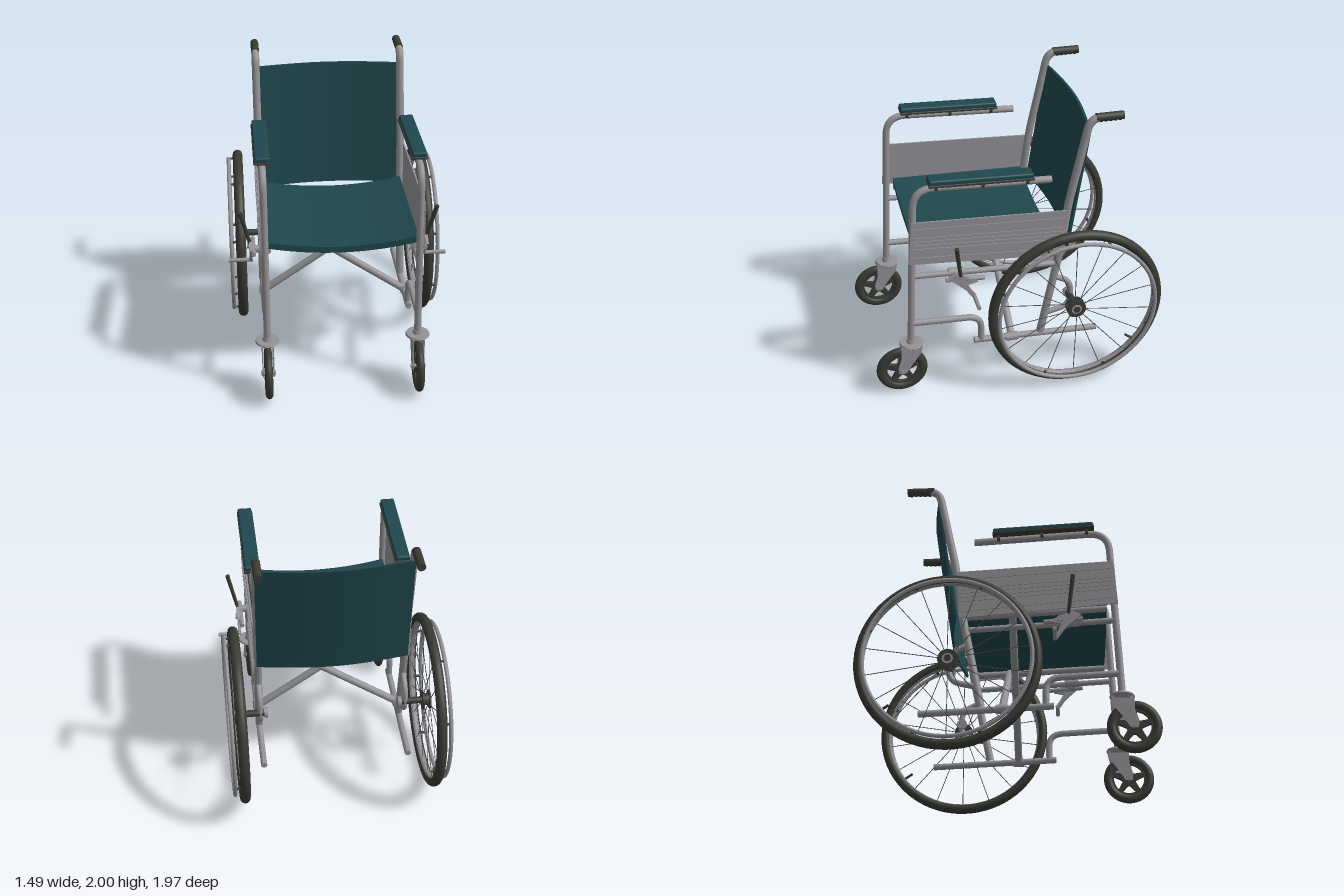
import * as THREE from 'three';
import { RoundedBoxGeometry } from 'three/addons/geometries/RoundedBoxGeometry.js';

const mat = (name, color) => Object.assign(new THREE.MeshStandardMaterial({ color }), { name });
const metal = mat('grey metal', 0x949296);
const rubber = mat('dark rubber', 0x3a3a34);
const fabric = mat('teal fabric', 0x1f474d);
const spokeMat = mat('spoke steel', 0x4c4c4c);

const V = (x, y, z) => new THREE.Vector3(x, y, z);

function add(parent, name, geometry, material) {
  const m = new THREE.Mesh(geometry, material);
  m.name = name;
  parent.add(m);
  return m;
}

// Straight capped bar between two points
function rod(parent, name, a, b, r, material = metal, sides = 14, r2 = r) {
  const d = b.clone().sub(a);
  const m = add(parent, name, new THREE.CylinderGeometry(r2, r, d.length(), sides), material);
  m.position.copy(a).add(b).multiplyScalar(0.5);
  m.quaternion.setFromUnitVectors(V(0, 1, 0), d.normalize());
  return m;
}

// Tube through points, with rounded corners
function bent(parent, name, pts, r, bend, material = metal) {
  const path = new THREE.CurvePath();
  let from = pts[0];
  for (let i = 1; i < pts.length - 1; i++) {
    const p = pts[i];
    const toward = (q) => p.clone().add(q.clone().sub(p).setLength(Math.min(bend, q.distanceTo(p) * 0.48)));
    const a = toward(pts[i - 1]), b = toward(pts[i + 1]);
    path.add(new THREE.LineCurve3(from, a));
    path.add(new THREE.QuadraticBezierCurve3(a, p, b));
    from = b;
  }
  path.add(new THREE.LineCurve3(from, pts[pts.length - 1]));
  return add(parent, name, new THREE.TubeGeometry(path, 72, r, 12), material);
}

// Flat plate drawn in the z-y plane, centred on x
function plate(parent, name, pts, x, thick, material = metal) {
  const shape = new THREE.Shape(pts.map(([z, y]) => new THREE.Vector2(-z, y)));
  const g = new THREE.ExtrudeGeometry(shape, { depth: thick, bevelEnabled: false });
  g.rotateY(Math.PI / 2).translate(x - thick / 2, 0, 0);
  return add(parent, name, g, material);
}

// Ring about the x axis from a [radius, x] profile
function ring(parent, name, profile, material) {
  const g = new THREE.LatheGeometry(profile.map(([r, x]) => new THREE.Vector2(r, x)), 64);
  return add(parent, name, g.rotateZ(-Math.PI / 2), material);
}

function tyreProfile(radius, rx, ry) {
  return Array.from({ length: 17 }, (_, i) => {
    const a = -Math.PI + i * Math.PI / 8;
    return [radius + Math.cos(a) * ry, Math.sin(a) * rx];
  });
}

// Cloth sheet: a box whose vertices are moved by a rule
function cloth(parent, name, rule) {
  const g = new THREE.BoxGeometry(2, 2, 2, 24, 1, 1);
  const p = g.attributes.position;
  for (let i = 0; i < p.count; i++) p.setXYZ(i, ...rule(p.getX(i), p.getY(i), p.getZ(i)));
  g.computeVertexNormals();
  return add(parent, name, g, fabric);
}

function driveWheel(s) {
  const w = new THREE.Group();
  w.name = 'driveWheel';
  ring(w, 'tyre', tyreProfile(0.576, 0.035, 0.034), rubber);
  ring(w, 'rim', [[0.56, -0.024], [0.56, 0.024], [0.547, 0.02], [0.54, 0], [0.547, -0.02], [0.56, -0.024]], metal);
  const hand = add(w, 'handRim', new THREE.TorusGeometry(0.546, 0.014, 10, 72).rotateY(Math.PI / 2), metal);
  hand.position.x = s * 0.066;
  for (let i = 0; i < 18; i++) {
    const a = i * Math.PI / 9, b = a + (i % 2 ? 0.06 : -0.06), hx = i % 2 ? 0.024 : -0.024;
    rod(w, 'spoke', V(hx, Math.cos(b) * 0.05, Math.sin(b) * 0.05), V(0, Math.cos(a) * 0.545, Math.sin(a) * 0.545), 0.0028, spokeMat, 6);
  }
  for (let i = 0; i < 8; i++) {
    const a = (i + 0.5) * Math.PI / 4, c = Math.cos(a) * 0.548, d = Math.sin(a) * 0.548;
    rod(w, 'handRimMount', V(s * 0.015, c, d), V(s * 0.06, c, d), 0.009, rubber, 8);
  }
  rod(w, 'hub', V(-0.026, 0, 0), V(0.026, 0, 0), 0.042, rubber, 24);
  for (const x of [-0.023, 0.023]) rod(w, 'hubFlange', V(x - 0.006, 0, 0), V(x + 0.006, 0, 0), 0.066, rubber, 24);
  rod(w, 'hubCap', V(s * 0.026, 0, 0), V(s * 0.032, 0, 0), 0.036, metal, 20);
  rod(w, 'axleNut', V(s * 0.03, 0, 0), V(s * 0.037, 0, 0), 0.025, rubber, 6);
  rod(w, 'valve', V(0, -0.34, -0.42), V(0, -0.305, -0.37), 0.009, rubber, 8);
  w.position.set(s * 0.655, 0.615, -0.375);
  return w;
}

function caster(s) {
  const c = new THREE.Group();
  c.name = 'caster';
  const wheel = new THREE.Group();
  wheel.name = 'casterWheel';
  ring(wheel, 'casterTyre', tyreProfile(0.145, 0.026, 0.032), rubber);
  // Five-spoke disc
  const disc = new THREE.Shape().absarc(0, 0, 0.13, 0, Math.PI * 2);
  for (let i = 0; i < 5; i++) {
    const m = Math.PI / 2 + (i + 0.5) * Math.PI * 0.4, hole = new THREE.Path();
    hole.absarc(0, 0, 0.106, m - 0.48, m + 0.48, false);
    hole.absarc(0, 0, 0.05, m + 0.14, m - 0.14, true);
    hole.closePath();
    disc.holes.push(hole);
  }
  const g = new THREE.ExtrudeGeometry(disc, { depth: 0.026, bevelEnabled: false, curveSegments: 10 });
  add(wheel, 'casterDisc', g.translate(0, 0, -0.013).rotateY(Math.PI / 2), rubber);
  wheel.position.set(s * 0.505, 0.193, 0.81);
  c.add(wheel);
  // Axle, fork and swivel
  rod(c, 'casterAxle', V(s * 0.505 - 0.05, 0.193, 0.81), V(s * 0.505 + 0.05, 0.193, 0.81), 0.012, metal);
  for (const d of [-0.036, 0.036]) {
    const x = s * 0.505 + d;
    plate(c, 'forkBlade', [[0.815, 0.395], [0.665, 0.395], [0.68, 0.33], [0.745, 0.24], [0.785, 0.175], [0.835, 0.175], [0.84, 0.22], [0.815, 0.3]], x, 0.008);
    rod(c, 'axleBolt', V(x - 0.01, 0.193, 0.81), V(x + 0.01, 0.193, 0.81), 0.02, metal, 6);
  }
  rod(c, 'forkCrown', V(s * 0.505, 0.38, 0.738), V(s * 0.505, 0.4, 0.738), 0.06, metal, 24, 0.076);
  rod(c, 'forkPlate', V(s * 0.505, 0.4, 0.738), V(s * 0.505, 0.412, 0.738), 0.082, metal, 28, 0.076);
  rod(c, 'swivelCollar', V(s * 0.505, 0.412, 0.738), V(s * 0.505, 0.44, 0.738), 0.034, metal, 18, 0.028);
  return c;
}

function sideFrame(s) {
  const f = new THREE.Group();
  f.name = s > 0 ? 'leftSide' : 'rightSide';
  const P = (x, y, z) => V(s * x, y, z);
  const X = 0.505;
  // Main tubes
  bent(f, 'frontLegAndArmTube', [P(X, 0.41, 0.74), P(X, 1.612, 0.685), P(X, 1.56, -0.22)], 0.024, 0.14);
  rod(f, 'armTubeEnd', P(X, 1.561, -0.2), P(X, 1.56, -0.225), 0.024);
  bent(f, 'backTube', [P(X, 0.34, -0.17), P(X, 1.03, -0.305), P(X, 1.35, -0.345), P(X, 1.972, -0.475), P(X, 1.972, -0.62)], 0.027, 0.08);
  rod(f, 'handGrip', P(X, 1.973, -0.51), P(X, 1.971, -0.695), 0.028, rubber, 18);
  for (let i = 0; i < 5; i++) rod(f, 'gripRidge', P(X, 1.966, -0.535 - i * 0.032), P(X, 1.966, -0.55 - i * 0.032), 0.027, rubber, 18);
  rod(f, 'middleRail', P(X, 0.947, 0.71), P(X, 0.895, -0.285), 0.02);
  rod(f, 'seatRail', P(0.485, 1.045, 0.66), P(0.485, 1.0, -0.28), 0.022);
  rod(f, 'lowerRail', P(X, 0.345, 0.3), P(X, 0.305, -0.575), 0.022);
  bent(f, 'frontBrace', [P(X, 0.565, 0.73), P(X, 0.54, 0.25), P(X, 0.345, 0.25)], 0.022, 0.1);
  bent(f, 'axleBracket', [P(X, 0.79, -0.255), P(X, 0.73, -0.38), P(X, 0.53, -0.38), P(X, 0.49, -0.2)], 0.02, 0.08);
  rod(f, 'axle', P(0.465, 0.615, -0.375), P(0.63, 0.615, -0.375), 0.024, rubber);
  rod(f, 'axleEnd', P(0.455, 0.615, -0.375), P(0.48, 0.615, -0.375), 0.036, metal, 16);
  // Skirt panel with pressed ribs, fixed outside the tubes
  plate(f, 'sidePanel', [[0.71, 1.378], [-0.335, 1.32], [-0.32, 0.975], [0.735, 1.06]], s * 0.529, 0.01);
  for (const t of [0.15, 0.36, 0.45, 0.54, 0.63, 0.84]) {
    const yf = 1.378 - 0.318 * t, yb = 1.32 - 0.345 * t;
    plate(f, 'panelRib', [[0.7, yf], [-0.32, yb], [-0.32, yb - 0.011], [0.7, yf - 0.011]], s * 0.535, 0.008);
  }
  // Armrest
  const pad = add(f, 'armrestPad', new RoundedBoxGeometry(0.096, 0.036, 0.685, 3, 0.012), fabric);
  pad.position.set(s * X, 1.644, 0.245);
  const base = add(f, 'armrestBase', new RoundedBoxGeometry(0.108, 0.018, 0.692, 2, 0.006), rubber);
  base.position.set(s * X, 1.623, 0.245);
  pad.rotation.x = base.rotation.x = -0.052;
  for (const z of [0.54, 0.235, -0.06]) {
    const y = 1.583 + z * 0.058;
    rod(f, 'armrestClamp', P(X, y, z + 0.01), P(X, y, z - 0.01), 0.031, rubber, 16);
  }
  // Parking brake
  rod(f, 'brakeMount', P(X, 0.93, 0.42), P(0.6, 0.93, 0.42), 0.026);
  rod(f, 'brakeClamp', P(X, 0.94, 0.47), P(X, 0.935, 0.37), 0.03);
  plate(f, 'brakePlate', [[0.49, 0.95], [0.42, 0.985], [0.37, 0.95], [0.3, 0.92], [0.29, 0.9], [0.36, 0.885], [0.33, 0.83], [0.3, 0.79], [0.33, 0.78], [0.37, 0.84], [0.4, 0.87]], s * 0.592, 0.02);
  rod(f, 'brakePivot', P(0.57, 0.92, 0.35), P(0.615, 0.92, 0.35), 0.022, metal, 12);
  rod(f, 'brakeLink', P(0.575, 0.93, 0.5), P(0.575, 0.91, 0.24), 0.016);
  rod(f, 'brakeShoe', P(0.58, 0.787, 0.315), P(0.745, 0.787, 0.315), 0.014);
  rod(f, 'brakeLever', P(0.595, 0.96, 0.405), P(0.655, 1.215, 0.44), 0.012, rubber, 10, 0.015);
  f.add(driveWheel(s), caster(s));
  return f;
}

export function createModel() {
  const chair = new THREE.Group();
  chair.name = 'wheelchair';
  chair.add(sideFrame(1), sideFrame(-1));
  // Sagging seat and curved backrest
  cloth(chair, 'seat', (u, v, w) => [u * 0.5, 1.035 + 0.055 * u * u + v * 0.022 + (w - 1) * 0.016, 0.19 + w * 0.47]);
  cloth(chair, 'backrest', (u, v, w) => [u * 0.515, 1.44 + v * 0.435, -0.408 - v * 0.064 - 0.055 * Math.cos(u * Math.PI / 2) + w * 0.008]);
  // Folding cross brace
  for (const s of [1, -1]) {
    const z = s * 0.033;
    rod(chair, 'crossBrace', V(-s * 0.485, 1.02, z), V(s * 0.485, 0.34, z), 0.026);
    rod(chair, 'crossBraceFoot', V(s * 0.505, 0.33, z - 0.04), V(s * 0.505, 0.33, z + 0.04), 0.03);
  }
  rod(chair, 'crossPivot', V(0, 0.68, -0.05), V(0, 0.68, 0.05), 0.016);
  return chair;
}
